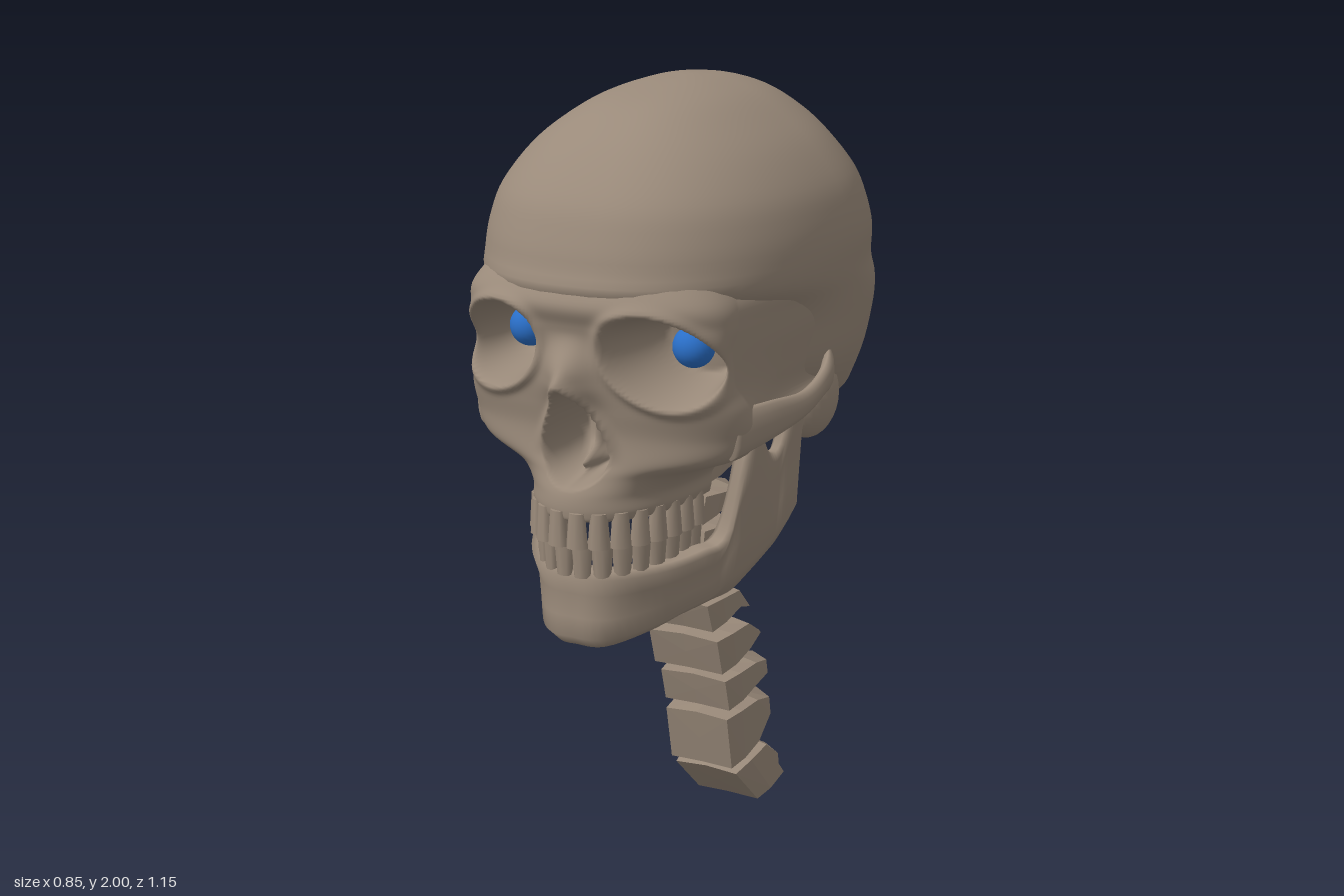
import * as THREE from 'three';

const bone = new THREE.MeshStandardMaterial({ color: 0x9a8a7a, side: THREE.DoubleSide });
bone.name = 'bone';
const blue = new THREE.MeshStandardMaterial({ color: 0x2a6fc8 });
blue.name = 'eyeBlue';

const V = (x, y, z) => new THREE.Vector3(x, y, z);
const gauss = (d, w) => Math.exp(-((d / w) ** 2));
const ramp = (v) => THREE.MathUtils.smoothstep(v, 0, 1);

// Smoothly interpolates a small table of rows, t in 0..1
function sample(rows, t) {
  const last = rows.length - 1;
  const f = t * last, i = Math.min(Math.floor(f), last - 1), k = f - i;
  const at = (n) => rows[Math.max(0, Math.min(last, n))];
  return rows[i].map((p1, c) => {
    const p0 = at(i - 1)[c], p2 = at(i + 1)[c], p3 = at(i + 2)[c];
    const m1 = (p2 - p0) / 2, m2 = (p3 - p1) / 2;
    return p1 + k * (m1 + k * (3 * (p2 - p1) - 2 * m1 - m2 + k * (2 * (p1 - p2) + m1 + m2)));
  });
}

// Skins a list of rings; closed rings get end caps
function loft(rings, closed = true, flat = false) {
  const n = rings[0].length, pts = rings.flat(), idx = [];
  for (let i = 0; i < rings.length - 1; i++) {
    for (let j = 0; j < (closed ? n : n - 1); j++) {
      const a = i * n + j, b = i * n + (j + 1) % n;
      idx.push(a, b, b + n, a, b + n, a + n);
    }
  }
  if (closed) {
    [0, rings.length - 1].forEach((r) => {
      const mid = V(0, 0, 0);
      rings[r].forEach((p) => mid.addScaledVector(p, 1 / n));
      const c = pts.push(mid) - 1;
      for (let j = 0; j < n; j++) {
        const a = r * n + j, b = r * n + (j + 1) % n;
        if (r) idx.push(a, b, c); else idx.push(b, a, c);
      }
    });
  }
  let geo = new THREE.BufferGeometry().setFromPoints(pts);
  geo.setIndex(idx);
  if (flat) geo = geo.toNonIndexed();
  geo.computeVertexNormals();
  return geo;
}

function add(parent, name, geo, mat = bone) {
  const mesh = new THREE.Mesh(geo, mat);
  mesh.name = name;
  parent.add(mesh);
  return mesh;
}

function ellipsoid(parent, name, pos, radii, mat = bone) {
  const mesh = add(parent, name, new THREE.SphereGeometry(1, 24, 16), mat);
  mesh.position.set(...pos);
  mesh.scale.set(...radii);
}

// Braincase: y, front z, back z, half width
function cranium() {
  const rows = [
    [1.12, -0.24, -0.41, 0.1], [1.14, -0.1, -0.45, 0.21], [1.2, 0.02, -0.485, 0.31],
    [1.26, 0.15, -0.507, 0.355], [1.34, 0.24, -0.535, 0.388], [1.44, 0.26, -0.557, 0.405],
    [1.5, 0.34, -0.568, 0.413], [1.56, 0.515, -0.57, 0.42], [1.63, 0.512, -0.562, 0.424],
    [1.7, 0.492, -0.537, 0.412], [1.77, 0.46, -0.503, 0.385], [1.85, 0.39, -0.44, 0.325],
    [1.91, 0.315, -0.385, 0.255], [1.96, 0.21, -0.305, 0.175], [1.99, 0.06, -0.2, 0.09],
    [2.0, -0.05, -0.09, 0.02]];
  const rings = [];
  for (let i = 0; i <= 60; i++) {
    const [y, zf, zb, w] = sample(rows, i / 60);
    const zc = zb + (zf - zb) * 0.43;
    rings.push(Array.from({ length: 56 }, (_, j) => {
      const a = (j / 56) * Math.PI * 2, s = Math.sin(a), c = Math.cos(a);
      const e = c > 0 ? 0.85 : 0.97;
      const x = w * Math.sign(s) * Math.abs(s) ** e;
      return V(x, y, zc + Math.sign(c) * Math.abs(c) ** e * (c > 0 ? zf - zc : zc - zb));
    }));
  }
  return loft(rings);
}

// Face with eye sockets, nasal opening and temple walls:
// y, half width, middle z, edge z, temple half width, temple length
function face() {
  const rows = [
    [1.09, 0.03, 0.4, 0.15, 0.03, 0], [1.06, 0.14, 0.47, 0.16, 0.14, 0],
    [1.04, 0.18, 0.52, 0.17, 0.18, 0], [1.06, 0.195, 0.53, 0.18, 0.195, 0],
    [1.1, 0.2, 0.525, 0.18, 0.2, 0], [1.14, 0.245, 0.505, 0.2, 0.245, 0],
    [1.18, 0.335, 0.485, 0.27, 0.335, 0], [1.24, 0.37, 0.48, 0.26, 0.365, 0],
    [1.3, 0.365, 0.49, 0.3, 0.345, 0.9], [1.36, 0.345, 0.5, 0.33, 0.355, 1],
    [1.44, 0.34, 0.505, 0.34, 0.37, 1], [1.5, 0.345, 0.52, 0.33, 0.376, 1],
    [1.555, 0.335, 0.535, 0.32, 0.38, 1], [1.63, 0.28, 0.485, 0.29, 0.35, 1]];
  const rings = [];
  for (let i = 0; i <= 104; i++) {
    const [y, w, zf, ze, tw, k] = sample(rows, i / 104);
    const ring = [V(-tw - 0.012 * k, y, ze - 0.42 * k), V(-tw, y, ze - 0.2 * k)];
    for (let j = 0; j <= 120; j++) {
      const a = (j / 60 - 1) * Math.PI / 2;
      const x = w * Math.sin(a), ax = Math.abs(x);
      let z = ze + (zf - ze) * Math.max(0, Math.cos(a)) ** 0.8;
      // eye socket with a raised rim
      const d = Math.hypot((ax - 0.213) / 0.125, (y - 1.428 + 0.2 * (ax - 0.215)) / 0.103);
      z += 0.012 * gauss(d - 1.1, 0.12) - 0.21 * ramp((1.04 - d) / 0.42);
      // nasal bones, pear-shaped opening, septum and spine
      const up = y - 1.235;
      const n = Math.hypot(x / (0.072 - 0.3 * up), up / 0.115);
      const inside = ramp((1.08 - n) / 0.3);
      z += 0.055 * gauss(x, 0.055) * (y > 1.385 ? ramp((1.49 - y) / 0.105) : ramp((y - 1.28) / 0.08));
      z += 0.02 * gauss(n - 1.15, 0.2) * ramp((y - 1.17) / 0.1);
      z += inside * (0.06 * gauss(x, 0.013) - 0.15);
      z += 0.045 * gauss(x, 0.03) * gauss(y - 1.16, 0.02);
      ring.push(V(x, y, z));
    }
    ring.push(V(tw, y, ze - 0.2 * k), V(tw + 0.012 * k, y, ze - 0.42 * k));
    rings.push(ring);
  }
  return loft(rings, false);
}

// Lower jaw, chin to hinge: x, z, bottom y, top y, thickness
function jaw() {
  const half = [
    [0.08, 0.45, 0.72, 0.91, 0.085], [0.16, 0.36, 0.74, 0.915, 0.085],
    [0.21, 0.27, 0.765, 0.93, 0.08], [0.24, 0.21, 0.78, 0.96, 0.07],
    [0.26, 0.18, 0.79, 1.17, 0.065], [0.27, 0.15, 0.8, 1.215, 0.06],
    [0.282, 0.1, 0.83, 1.14, 0.045], [0.292, 0.06, 0.86, 1.15, 0.04],
    [0.3, 0.035, 0.89, 1.27, 0.05], [0.305, 0, 0.94, 1.27, 0.06]];
  const mirrored = half.map(([x, ...rest]) => [-x, ...rest]).reverse();
  const rows = [...mirrored, [0, 0.465, 0.72, 0.91, 0.085], ...half];
  const section = [[0.25, 1], [0.5, 0.93], [0.4, 0.7], [0.45, 0.4], [0.5, 0.14], [0.2, 0],
    [-0.2, 0], [-0.5, 0.14], [-0.45, 0.5], [-0.5, 0.93], [-0.25, 1]];
  const rings = [];
  for (let i = 0; i <= 100; i++) {
    const t = i / 100;
    const [x, z, yb, yt, thick] = sample(rows, t);
    const p = sample(rows, Math.max(0, t - 0.01)), q = sample(rows, Math.min(1, t + 0.01));
    const dx = q[0] - p[0], dz = q[1] - p[1], len = Math.hypot(dx, dz);
    rings.push(section.map(([o, f]) => {
      const y = yb + (yt - yb) * f;
      const lean = THREE.MathUtils.clamp(x / 0.2, -1, 1) * (y - 0.95) * (y > 0.95 ? 0.09 : 0.25);
      return V(x + lean - (dz / len) * o * thick, y, z + (dx / len) * o * thick);
    }));
  }
  return loft(rings);
}

// One row of teeth along a U-shaped arch
function teeth(name, width, depth, y, flip) {
  const row = new THREE.Group();
  row.name = name;
  const arch = new THREE.CatmullRomCurve3(Array.from({ length: 25 }, (_, i) => {
    const a = (i / 12 - 1) * Math.PI / 2;
    return V(width * Math.sin(a), y, 0.2 + depth * Math.max(0, Math.cos(a)) ** 0.8);
  }));
  const geo = new THREE.CylinderGeometry(0.02, 0.027, 0.085, 8);
  for (let i = 0; i < 16; i++) {
    const t = (i + 0.5) / 16, dir = arch.getTangentAt(t);
    const tooth = add(row, 'tooth', geo);
    tooth.position.copy(arch.getPointAt(t));
    tooth.rotation.y = Math.atan2(-dir.z, dir.x);
    tooth.scale.set(1, flip ? -1 : 1, 0.75);
  }
  return row;
}

// Cheek arch running from the cheekbone to the ear
function cheekArch() {
  const path = [[0.335, 1.245, 0.35, 0.06], [0.38, 1.262, 0.24, 0.048], [0.405, 1.275, 0.12, 0.032],
    [0.405, 1.3, 0.02, 0.03], [0.385, 1.315, -0.06, 0.045], [0.33, 1.325, -0.15, 0.06]];
  return loft(Array.from({ length: 31 }, (_, i) => {
    const [x, y, z, r] = sample(path, i / 30);
    return Array.from({ length: 12 }, (_, j) => {
      const a = (j / 12) * Math.PI * 2;
      return V(x + 0.018 * Math.cos(a), y - r * Math.sin(a), z);
    });
  }));
}

// Vertebra: body in front, roofed wedge sloping down behind
function vertebra([zt, yt, zb, yb, tipZ, tipY, w, tipH, rise]) {
  const ring = (w, zTop, top, zBot, bottom, roof) => [
    V(-w, top - roof, zTop), V(0, top, zTop), V(w, top - roof, zTop),
    V(w, bottom, zBot), V(0, bottom + roof * 0.4, zBot), V(-w, bottom, zBot)];
  return loft([
    ring(w * 0.9, zt, yt, zb, yb, 0.006),
    ring(w, zt - 0.07, yt + rise * 0.5, zb - 0.06, yb + 0.01, 0.008),
    ring(w * 0.95, zt - 0.17, yt + rise, zb - 0.15, yb + 0.022, 0.02),
    ring(w * 0.4, tipZ + 0.01, tipY + tipH, tipZ, tipY, tipH * 0.3)], true, true);
}

export function createModel() {
  const model = new THREE.Group();
  model.name = 'skullAndNeck';
  add(model, 'cranium', cranium());
  add(model, 'face', face());
  add(model, 'lowerJaw', jaw());
  model.add(teeth('upperTeeth', 0.18, 0.325, 1.02, false));
  model.add(teeth('lowerTeeth', 0.17, 0.3, 0.94, true));

  // Underside of the skull
  ellipsoid(model, 'skullBase', [0, 1.3, 0.12], [0.24, 0.085, 0.2]);
  ellipsoid(model, 'neckJoint', [0, 1.16, -0.11], [0.12, 0.06, 0.1]);

  // Paired parts
  const arch = cheekArch();
  for (const s of [1, -1]) {
    const side = s > 0 ? 'left' : 'right';
    add(model, side + 'CheekArch', arch).scale.x = s;
    ellipsoid(model, side + 'EarBone', [s * 0.305, 1.23, -0.12], [0.07, 0.11, 0.1]);
    ellipsoid(model, side + 'PalateWing', [s * 0.12, 1.16, 0.22], [0.035, 0.11, 0.05]);
    ellipsoid(model, side + 'Eye', [s * 0.22, 1.435, 0.315], [0.05, 0.05, 0.05], blue);
  }

  // Neck, top to bottom
  const neck = new THREE.Group();
  neck.name = 'neck';
  [
    [-0.04, 1.11, -0.01, 0.99, -0.3, 1.02, 0.09, 0.015, 0],
    [-0.01, 0.965, 0.01, 0.89, -0.28, 0.845, 0.09, 0.08, -0.01],
    [-0.005, 0.875, 0.01, 0.8, -0.28, 0.765, 0.09, 0.015, -0.005],
    [-0.005, 0.78, -0.005, 0.69, -0.28, 0.69, 0.09, 0.015, 0],
    [-0.02, 0.67, -0.05, 0.585, -0.35, 0.55, 0.09, 0.015, 0.005],
    [-0.04, 0.57, -0.07, 0.465, -0.4, 0.46, 0.11, 0.015, 0.01],
    [-0.095, 0.44, -0.12, 0.345, -0.45, 0.325, 0.105, 0.06, 0.01],
    [-0.115, 0.325, -0.145, 0.17, -0.475, 0.195, 0.1, 0.075, 0.01],
    [-0.17, 0.15, -0.3, 0.02, -0.535, 0, 0.1, 0.08, 0.035],
  ].forEach((row) => add(neck, 'vertebra', vertebra(row)));
  model.add(neck);
  return model;
}
